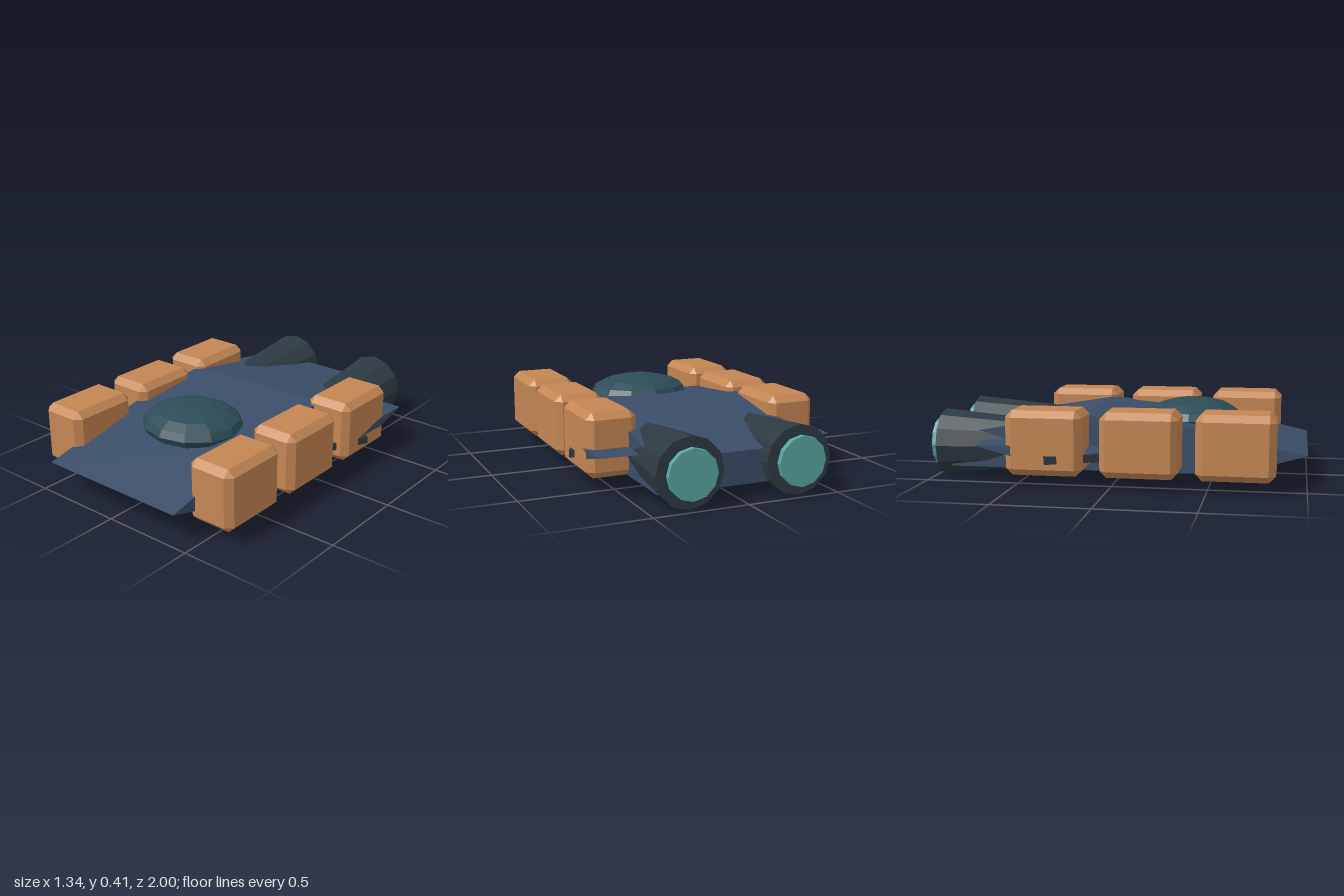
import * as THREE from 'three';
import { ConvexGeometry } from 'three/addons/geometries/ConvexGeometry.js';

const paint = (color) => new THREE.MeshStandardMaterial({ color, flatShading: true });

// Box whose edges and corners are cut flat by b
function chamferedBox(w, h, d, b) {
  const pts = [];
  for (const x of [-w / 2, w / 2])
    for (const y of [-h / 2, h / 2])
      for (const z of [-d / 2, d / 2]) {
        const ix = x - Math.sign(x) * b, iy = y - Math.sign(y) * b, iz = z - Math.sign(z) * b;
        pts.push(new THREE.Vector3(x, iy, iz), new THREE.Vector3(ix, y, iz), new THREE.Vector3(ix, iy, z));
      }
  return new ConvexGeometry(pts);
}

export function createModel() {
  const model = new THREE.Group();
  const navy = paint(0x3a4d68);
  const orange = paint(0xc48653);
  const dark = paint(0x2d3a42);
  const canopyPaint = paint(0x2c4c57);
  const teal = paint(0x58a69f);

  const add = (name, geometry, material, x = 0, y = 0, z = 0) => {
    const mesh = new THREE.Mesh(geometry, material);
    mesh.name = name;
    mesh.position.set(x, y, z);
    model.add(mesh);
    return mesh;
  };

  // Hull: wedge-nosed side profile (z, y) extruded across the width
  const profile = [[1, 0.18], [0.38, 0.312], [-0.17, 0.36], [-0.89, 0.24], [-0.89, 0.07], [0.62, 0.07]];
  const hullShape = new THREE.Shape(profile.map(([z, y]) => new THREE.Vector2(-z, y)));
  const hull = new THREE.ExtrudeGeometry(hullShape, { depth: 0.86, bevelEnabled: false });
  hull.translate(0, 0, -0.43).rotateY(Math.PI / 2);
  add('hull', hull, navy);

  // Canopy dome, a flattened sphere
  const canopy = new THREE.SphereGeometry(1, 12, 8);
  canopy.scale(0.285, 0.1, 0.26);
  add('canopy', canopy, canopyPaint, 0, 0.317, 0.375);

  const block = chamferedBox(0.265, 0.335, 0.4, 0.035);
  const engine = new THREE.CylinderGeometry(0.13, 0.18, 0.55, 12).rotateX(Math.PI / 2);
  const nozzle = new THREE.CylinderGeometry(0.129, 0.129, 0.03, 12).rotateX(Math.PI / 2);

  for (const side of [1, -1]) {
    const label = side > 0 ? 'left' : 'right';

    // Side cargo blocks
    [0.645, 0.16, -0.33].forEach((z, i) =>
      add(`${label}Block${i + 1}`, block, orange, side * 0.5125, 0.2375, z));

    // Tapered engine with glowing exhaust disc
    add(`${label}Engine`, engine, dark, side * 0.295, 0.182, -0.685);
    add(`${label}Exhaust`, nozzle, teal, side * 0.295, 0.182, -0.985);

    // Swept wing: thin foil sections at root and tip
    const foil = (x, lead, mid, trail) => [
      [lead, 0.18], [mid, 0.225], [mid, 0.17], [trail, 0.22],
    ].map(([z, y]) => new THREE.Vector3(side * x, y, z));
    add(`${label}Wing`, new ConvexGeometry([
      ...foil(0.4, 0.1, -0.3, -0.695), ...foil(0.645, -0.28, -0.48, -0.685),
    ]), navy);

    // Slanted strut along the leading edge of the wing
    const strut = add(`${label}Strut`, new THREE.BoxGeometry(0.03, 0.04, 0.5), dark,
      side * 0.551, 0.158, -0.09);
    strut.rotation.y = -side * 0.44;
  }
  return model;
}
